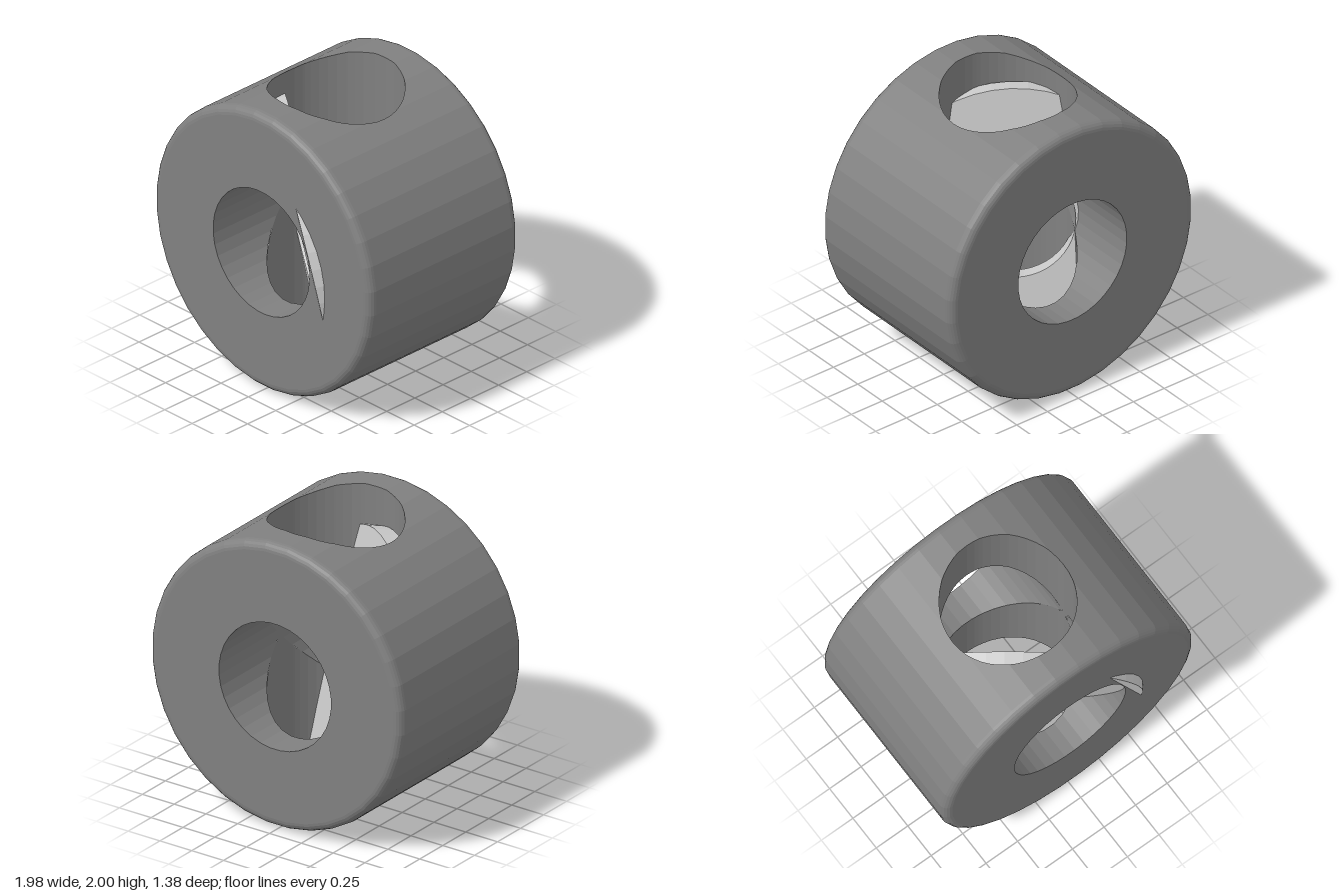
import * as THREE from 'three';

const R = 0.994, BORE = 0.441, HALF = 0.663, FILLET = 0.06;
const rad = THREE.MathUtils.degToRad;
const material = (color) => new THREE.MeshStandardMaterial({ color, flatShading: true });

// Radius of a 36-sided outline at an angle in degrees (corners at 5, 15, 25 ...)
const facetRadius = (deg, r) => r * Math.cos(rad(5)) / Math.cos(rad(deg - Math.round(deg / 10) * 10));

// Triangles of a ruled surface between two equally long rows of points
function ruled(a, b) {
  const out = [];
  for (let i = 0; i < a.length - 1; i++) {
    out.push([a[i], b[i], b[i + 1]], [a[i], b[i + 1], a[i + 1]]);
  }
  return out;
}

// Copies one octant of triangles into all eight
function mirroredGeometry(triangles) {
  const pos = [];
  for (const sx of [1, -1]) for (const sy of [1, -1]) for (const sz of [1, -1]) {
    for (const t of triangles) {
      const order = sx * sy * sz > 0 ? t : [t[0], t[2], t[1]];
      for (const p of order) pos.push(p[0] * sx, p[1] * sy, p[2] * sz);
    }
  }
  const geometry = new THREE.BufferGeometry();
  geometry.setAttribute('position', new THREE.Float32BufferAttribute(pos, 3));
  geometry.computeVertexNormals();
  return geometry;
}

function createBody() {
  const body = new THREE.Group();
  body.name = 'drilledBody';
  const darkGrey = material(0x808080);
  const add = (name, geometry) => {
    const mesh = new THREE.Mesh(geometry, darkGrey);
    mesh.name = name;
    body.add(mesh);
    return mesh;
  };

  // Angles from the top: the cross hole's outline plus the corners of the drum
  const holeEdge = THREE.MathUtils.radToDeg(Math.asin(BORE / R));
  const angles = [90];
  for (let d = 5; d < 90; d += 10) angles.push(d);
  for (let t = 0; t < 90; t += 7.5) {
    angles.push(THREE.MathUtils.radToDeg(Math.asin(BORE * Math.sin(rad(t)) / R)));
  }
  angles.push(holeEdge);
  angles.sort((p, q) => p - q);
  const rim = angles.map((d) => {
    const r = facetRadius(d, R);
    const s = Math.sin(rad(d)) / Math.sin(rad(holeEdge));
    const z = d < holeEdge ? BORE * Math.sqrt(Math.max(0, 1 - s * s)) : 0;
    return [r * Math.sin(rad(d)), r * Math.cos(rad(d)), z];
  });

  // Curved outside, cut by the cross hole
  add('drumSide', mirroredGeometry(ruled(rim, rim.map(([x, y]) => [x, y, HALF - FILLET]))));

  // Cross hole wall, from the lengthwise bore up to the outside
  const mouth = rim.filter((p, i) => angles[i] <= holeEdge);
  add('crossHole', mirroredGeometry(ruled(mouth.map(([x, , z]) => [x, z, z]), mouth)));

  // Lengthwise bore wall, starting where it meets the cross hole
  const boreAngles = [0, 5, 15, 25, 35, 45, 55, 65, 75, 85, 90];
  const ring = boreAngles.map((d) => {
    const r = facetRadius(d, BORE);
    return [r * Math.cos(rad(d)), r * Math.sin(rad(d))];
  });
  add('lengthwiseBore', mirroredGeometry(
    ruled(ring.map(([x, y]) => [x, y, y]), ring.map(([x, y]) => [x, y, HALF]))));

  // End faces with rounded outer edges
  const profile = [];
  for (let i = 0; i <= 5; i++) {
    const a = rad(i * 18);
    profile.push(new THREE.Vector2(R - FILLET + FILLET * Math.cos(a), HALF - FILLET + FILLET * Math.sin(a)));
  }
  profile.push(new THREE.Vector2(BORE, HALF));
  const end = new THREE.LatheGeometry(profile, 36, rad(5));
  add('frontEnd', end).rotation.x = Math.PI / 2;
  add('backEnd', end).rotation.x = -Math.PI / 2;

  body.position.set(0, 1.01, -0.028);
  return body;
}

// Thin, lighter, tilted washer running through the inside of the body
function createWasher() {
  const outer = 0.904, inner = 0.392, half = 0.0625;
  const section = [[inner, -half], [outer, -half], [outer, half], [inner, half], [inner, -half]];
  const geometry = new THREE.LatheGeometry(section.map(([x, y]) => new THREE.Vector2(x, y)), 48);
  const washer = new THREE.Mesh(geometry, material(0xcccccc));
  washer.name = 'tiltedWasher';
  const axis = new THREE.Vector3(-0.578, -0.198, 0.791).normalize();
  washer.quaternion.setFromUnitVectors(new THREE.Vector3(0, 1, 0), axis);
  washer.position.set(-0.138, 0.899, 0.085);
  return washer;
}

export function createModel() {
  const model = new THREE.Group();
  model.name = 'drilledDrumWithWasher';
  model.add(createBody(), createWasher());
  return model;
}
